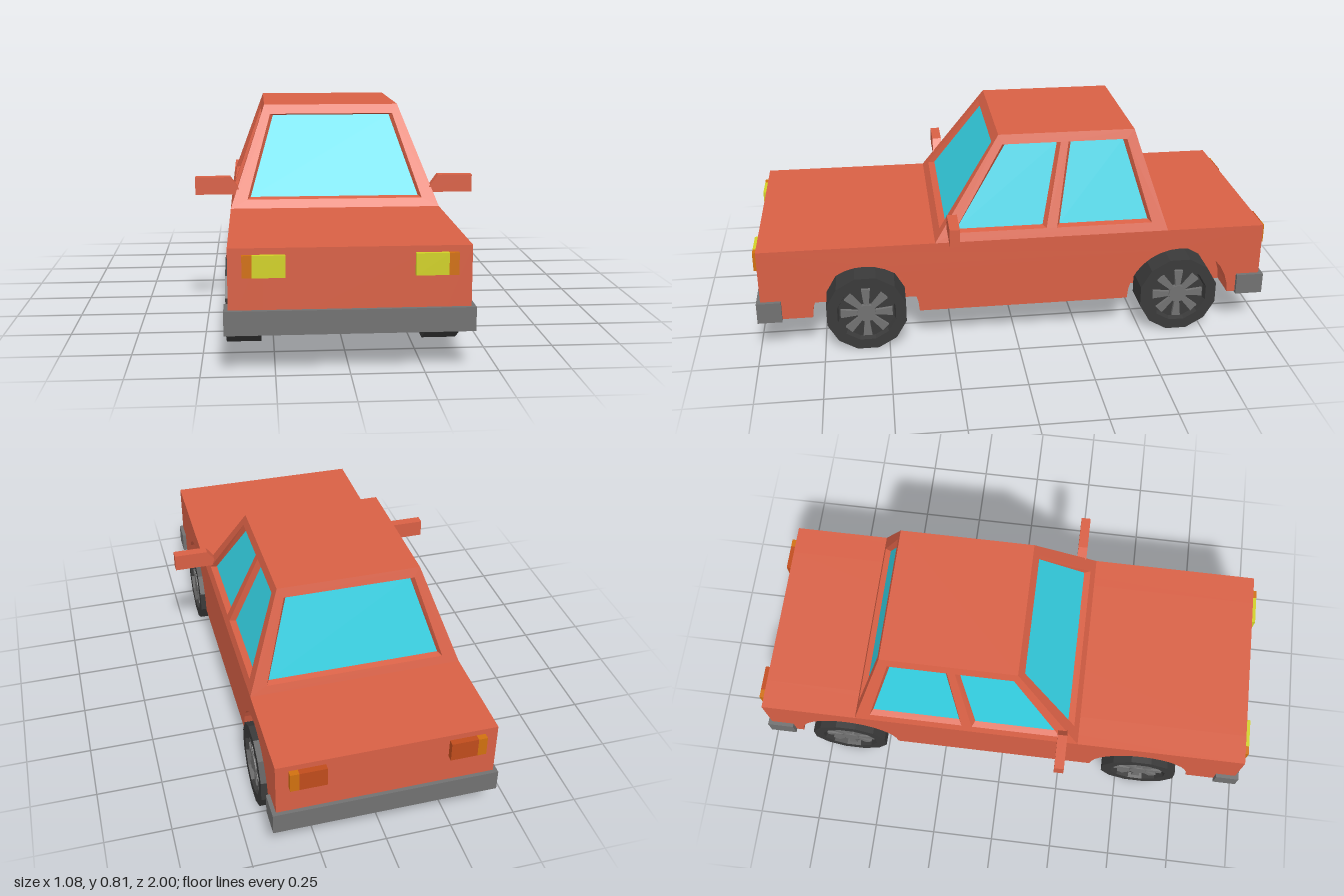
import * as THREE from 'three';

const mat = (name, color) => {
  const m = new THREE.MeshStandardMaterial({ color });
  m.name = name;
  return m;
};

export function createModel() {
  const car = new THREE.Group();
  car.name = 'car';
  const paint = mat('red paint', 0xd86045);
  const glass = mat('blue glass', 0x34d0e2);
  const rubber = mat('black rubber', 0x3a3a3a);
  const metal = mat('grey metal', 0x717171);
  const yellow = mat('yellow lamp', 0xd0d026);
  const orange = mat('orange lamp', 0xd0700f);
  const tail = mat('tail lamp red', 0xc04c1c);

  const add = (name, geo, material, parent = car) => {
    const m = new THREE.Mesh(geo, material);
    m.name = name;
    parent.add(m);
    return m;
  };
  // Box given by its minimum and maximum on each axis
  const box = (name, material, x0, x1, y0, y1, z0, z1) =>
    add(name, new THREE.BoxGeometry(x1 - x0, y1 - y0, z1 - z0)
      .translate((x0 + x1) / 2, (y0 + y1) / 2, (z0 + z1) / 2), material);
  const shapeOf = (pts) => new THREE.Shape(pts.map(([a, b]) => new THREE.Vector2(a, b)));
  const flat = (geo) => {
    const g = geo.index ? geo.toNonIndexed() : geo;
    g.computeVertexNormals();
    return g;
  };

  // Lower body: a central block and two flanks with wheel arches
  const W = 0.405, INNER = 0.29, FLOOR = 0.145, DECK = 0.432, FRONT = 0.983, REAR = -0.977;
  const axles = [-0.648, 0.584];
  box('bodyCore', paint, -INNER, INNER, FLOOR, DECK, REAR, FRONT);
  const flank = new THREE.Shape();
  flank.moveTo(REAR, FLOOR);
  for (const z of axles) {
    flank.lineTo(z - 0.205, FLOOR);
    flank.absarc(z, FLOOR, 0.205, Math.PI, 0, true);
  }
  flank.lineTo(FRONT, FLOOR);
  flank.lineTo(FRONT, DECK);
  flank.lineTo(REAR, DECK);
  for (const [name, x] of [['leftFlank', W], ['rightFlank', -INNER]]) {
    const g = new THREE.ExtrudeGeometry(flank, { depth: W - INNER, bevelEnabled: false, curveSegments: 8 });
    add(name, g.rotateY(-Math.PI / 2).translate(x, 0, 0), paint);
  }

  // Cabin: sloping walls whose offset depends on height
  const ROOF = 0.808, RX = 0.27, ZF = 0.312, RZF = 0.054, ZB = -0.593, RZB = -0.474;
  const slope = (a, b) => (y) => a + (b - a) * (y - DECK) / (ROOF - DECK);
  const sideX = slope(W, RX), frontZ = slope(ZF, RZF), backZ = slope(ZB, RZB);

  // One wall with recessed windows; place() maps (across, height, depth) to space
  const wall = (name, outline, windows, place) => {
    const group = new THREE.Group();
    group.name = name;
    car.add(group);
    const map = (geo, depth) => {
      const p = geo.attributes.position;
      for (let i = 0; i < p.count; i++) p.setXYZ(i, ...place(p.getX(i), p.getY(i), depth));
      return flat(geo);
    };
    const shape = shapeOf(outline);
    for (const w of windows) {
      shape.holes.push(new THREE.Path(w.map(([a, b]) => new THREE.Vector2(a, b))));
      const ca = w.reduce((s, p) => s + p[0], 0) / 4, cy = w.reduce((s, p) => s + p[1], 0) / 4;
      const pane = w.map(([a, y]) => [a - Math.sign(a - ca) * 0.012, y - Math.sign(y - cy) * 0.006]);
      add('windowGlass', map(new THREE.ShapeGeometry(shapeOf(pane)), 0.022), glass, group);
      // Reveal between the wall and the glass
      const pos = [];
      w.forEach((p, i) => {
        const j = (i + 1) % 4;
        const A = place(...p, 0), B = place(...w[j], 0);
        const C = place(...pane[j], 0.022), D = place(...pane[i], 0.022);
        pos.push(...A, ...B, ...C, ...A, ...C, ...D);
      });
      const g = new THREE.BufferGeometry();
      g.setAttribute('position', new THREE.Float32BufferAttribute(pos, 3));
      add('windowReveal', flat(g), paint, group);
    }
    add('wallFrame', map(new THREE.ShapeGeometry(shape), 0), paint, group);
  };

  const endOutline = [[-W, DECK], [W, DECK], [RX, ROOF], [-RX, ROOF]];
  const endWindow = [[-0.34, 0.463], [0.34, 0.463], [0.247, 0.773], [-0.247, 0.773]];
  wall('windscreen', endOutline, [endWindow], (a, y, d) => [a, y, frontZ(y) - d]);
  wall('rearScreen', endOutline, [endWindow], (a, y, d) => [-a, y, backZ(y) + d]);

  const sideOutline = [[-ZF, DECK], [-ZB, DECK], [-RZB, ROOF], [-RZF, ROOF]];
  const sideWindows = [
    [[-0.24, 0.465], [0.117, 0.465], [0.185, 0.773], [-0.04, 0.773]],
    [[0.158, 0.465], [0.53, 0.465], [0.444, 0.773], [0.215, 0.773]],
  ];
  const mirror = (pts) => pts.map(([a, y]) => [-a, y]).reverse();
  wall('leftSide', sideOutline, sideWindows, (a, y, d) => [sideX(y) - d, y, -a]);
  wall('rightSide', mirror(sideOutline), sideWindows.map(mirror), (a, y, d) => [-sideX(y) + d, y, a]);
  add('roof', new THREE.PlaneGeometry(2 * RX, RZF - RZB).rotateX(-Math.PI / 2)
    .translate(0, ROOF, (RZF + RZB) / 2), paint);

  // Bumpers
  box('frontBumper', metal, -0.42, 0.42, 0.14, 0.223, 0.905, 0.998);
  box('rearBumper', metal, -0.42, 0.42, 0.14, 0.223, -0.992, -0.885);

  // Wheel, built with its axle along x and its outer face towards +x
  const profile = [[0, -0.0625], [0.158, -0.0625], [0.158, 0.0625], [0.116, 0.0625], [0.11, 0.04], [0, 0.04]];
  const tyreGeo = flat(new THREE.LatheGeometry(profile.map(([r, y]) => new THREE.Vector2(r, y)), 12)
    .rotateY(Math.PI / 12).rotateZ(-Math.PI / 2));
  const spokeGeo = new THREE.ExtrudeGeometry(
    shapeOf([[-0.008, 0.02], [0.008, 0.02], [0.017, 0.1], [-0.017, 0.1]]),
    { depth: 0.014, bevelEnabled: false }).rotateY(Math.PI / 2).translate(0.039, 0, 0);
  const hubGeo = new THREE.CylinderGeometry(0.036, 0.036, 0.02, 12).rotateZ(-Math.PI / 2).translate(0.048, 0, 0);

  for (const s of [1, -1]) {
    const side = s > 0 ? 'left' : 'right';
    for (const z of axles) {
      const wheel = new THREE.Group();
      wheel.name = side + (z > 0 ? 'FrontWheel' : 'RearWheel');
      wheel.position.set(s * 0.3575, 0.153, z);
      if (s < 0) wheel.rotation.y = Math.PI;
      add('tyre', tyreGeo, rubber, wheel);
      add('hub', hubGeo, metal, wheel);
      for (let i = 0; i < 8; i++) add('spoke', spokeGeo, metal, wheel).rotation.x = i * Math.PI / 4;
      car.add(wheel);
    }

    // Lamps
    const lamp = (name, material, a, b, z0, z1) =>
      box(side + name, material, Math.min(s * a, s * b), Math.max(s * a, s * b), 0.335, 0.41, z0, z1);
    lamp('Headlamp', yellow, 0.215, 0.325, 0.97, 1);
    lamp('FrontIndicator', orange, 0.325, 0.358, 0.97, 1);
    lamp('TailLamp', tail, 0.225, 0.325, -1, -0.96);
    lamp('RearIndicator', orange, 0.325, 0.358, -1, -0.96);

    // Door mirror with a tapered foot
    const outline = [[0.378, 0.48], [0.542, 0.48], [0.542, 0.548], [0.407, 0.548], [0.372, 0.5]];
    add(side + 'Mirror', new THREE.ExtrudeGeometry(shapeOf(outline.map(([x, y]) => [s * x, y])),
      { depth: 0.038, bevelEnabled: false }).translate(0, 0, 0.228), paint);
  }
  return car;
}
